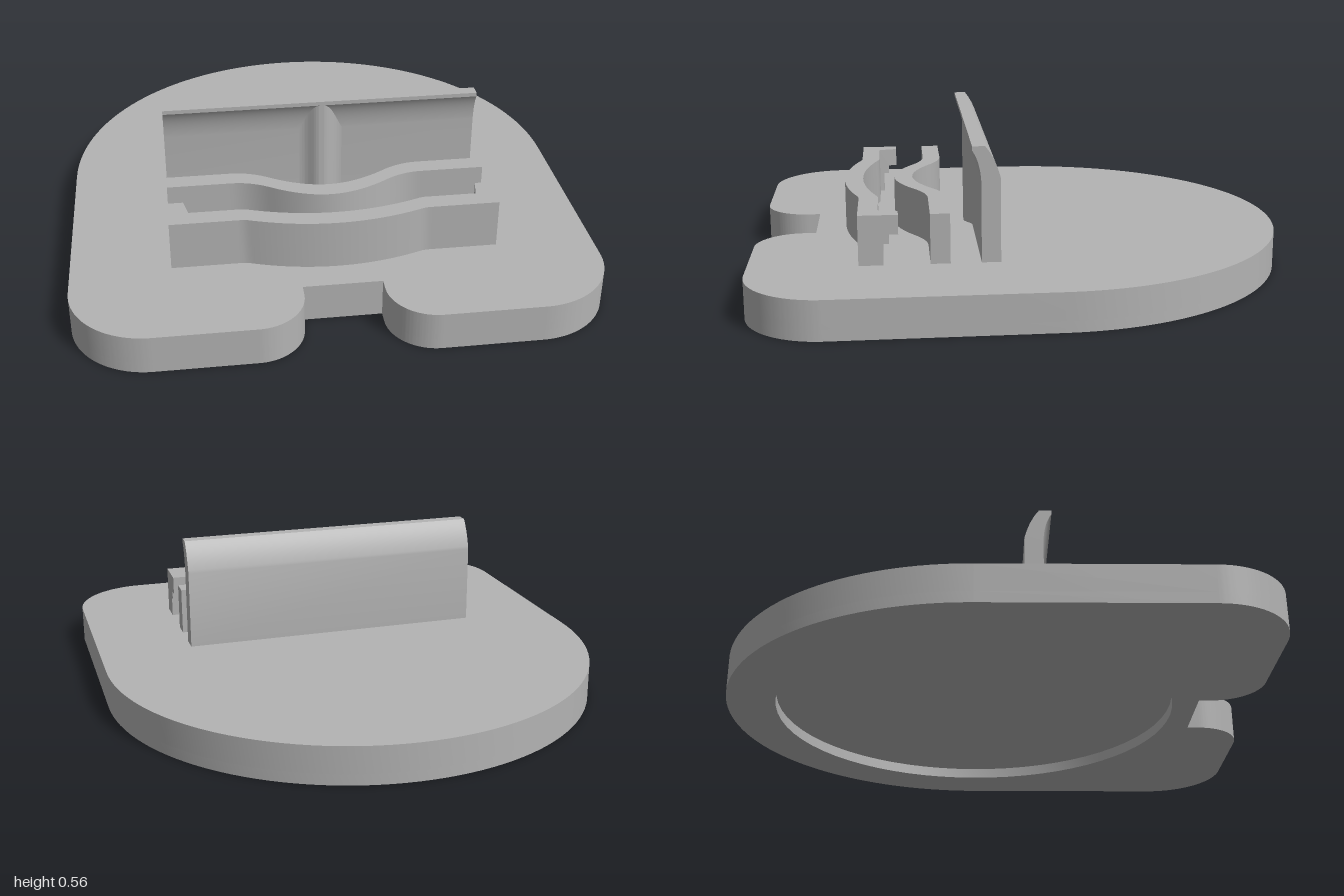
import * as THREE from 'three';
import { toCreasedNormals } from 'three/addons/utils/BufferGeometryUtils.js';

const grey = new THREE.MeshStandardMaterial({ color: 0xb3b3b3 });
grey.name = 'grey plastic';

const BASE_TOP = 0.14, CLIP_TOP = 0.32, HALF = 0.585, DISC_Z = -0.06;

function addMesh(group, name, geometry) {
  const mesh = new THREE.Mesh(toCreasedNormals(geometry, 0.5), grey);
  mesh.name = name;
  group.add(mesh);
  return mesh;
}

// Plan shape (x, -z) raised from y0 to y1
function raise(shape, y0, y1) {
  const g = new THREE.ExtrudeGeometry(shape, { depth: y1 - y0, bevelEnabled: false, curveSegments: 32 });
  return g.rotateX(-Math.PI / 2).translate(0, y0, 0);
}

// Side shape (z, y) run along x from x0 to x1
function runAcross(shape, x0, x1) {
  const g = new THREE.ExtrudeGeometry(shape, { depth: x1 - x0, bevelEnabled: false, curveSegments: 12 });
  return g.rotateY(-Math.PI / 2).translate(x1, 0, 0);
}

// Round-backed outline with rounded front corners and a cable notch
function baseOutline() {
  const w = 0.94, R = 0.28, n = 0.14, r = 0.17;
  const s = new THREE.Shape();
  s.moveTo(w, -DISC_Z);
  s.absarc(0, -DISC_Z, w, 0, Math.PI, false);
  s.lineTo(-w, -1 + R);
  s.absarc(-w + R, -1 + R, R, Math.PI, Math.PI * 1.5, false);
  s.lineTo(-n - r, -1);
  s.absarc(-n - r, -1 + r, r, -Math.PI / 2, 0, false);
  s.lineTo(-n, -0.785);
  s.lineTo(n, -0.785);
  s.lineTo(n, -1 + r);
  s.absarc(n + r, -1 + r, r, Math.PI, Math.PI * 1.5, false);
  s.lineTo(w - R, -1);
  s.absarc(w - R, -1 + R, R, -Math.PI / 2, 0, false);
  s.closePath();
  return s;
}

// Wall following z = f(x), with constant depth in z
function wavyWall(f, depth) {
  const pts = [], N = 64;
  for (let i = 0; i <= N; i++) {
    const x = -HALF + (2 * HALF * i) / N;
    pts.push([x, f(x)]);
  }
  const back = pts.map(([x, z]) => new THREE.Vector2(x, -z));
  const front = pts.map(([x, z]) => new THREE.Vector2(x, -z - depth)).reverse();
  return raise(new THREE.Shape([...back, ...front]), BASE_TOP, CLIP_TOP);
}

export function createModel() {
  const group = new THREE.Group();
  group.name = 'cardHolder';

  // Base: solid top layer over a rim with a shallow round recess
  addMesh(group, 'basePlate', raise(baseOutline(), 0.04, BASE_TOP));
  const rim = baseOutline();
  const hole = new THREE.Path();
  hole.absarc(0, -DISC_Z, 0.757, 0, Math.PI * 2, true);
  rim.holes.push(hole);
  addMesh(group, 'baseRim', raise(rim, 0, 0.04));

  // Back rest with a lip curling forward
  const rest = new THREE.Shape();
  rest.moveTo(0.118, BASE_TOP);
  rest.lineTo(0.186, BASE_TOP);
  rest.lineTo(0.186, 0.43);
  rest.quadraticCurveTo(0.19, 0.5, 0.217, 0.54);
  rest.lineTo(0.217, 0.555);
  rest.lineTo(0.172, 0.555);
  rest.quadraticCurveTo(0.135, 0.51, 0.118, 0.44);
  rest.closePath();
  addMesh(group, 'backRest', runAcross(rest, -HALF, HALF));

  // Rounded ridge in the middle of the rest, fading into the lip
  const ridge = new THREE.Shape();
  ridge.moveTo(0.08, -0.18);
  ridge.lineTo(0.08, -0.186);
  ridge.bezierCurveTo(0.04, -0.19, 0.035, -0.217, 0, -0.217);
  ridge.bezierCurveTo(-0.035, -0.217, -0.04, -0.19, -0.08, -0.186);
  ridge.lineTo(-0.08, -0.18);
  ridge.closePath();
  addMesh(group, 'restRidge', raise(ridge, BASE_TOP, 0.545));

  // Middle clip: S-bends at the sides, bowed forward at the centre
  const middle = (x) => {
    const a = Math.abs(x);
    if (a > 0.35) return 0.295;
    if (a > 0.22) return 0.295 + 0.04 * ((0.35 - a) / 0.13) ** 2;
    return 0.415 - 0.08 * (a / 0.22) ** 2 * (1.15 - 0.15 * (a / 0.22));
  };
  addMesh(group, 'middleClip', wavyWall(middle, 0.07));

  // Front clip: gentle bow between straight ends
  const bow = (x) => 0.545 + 0.06 * Math.max(0, 1 - (x / 0.32) ** 2);
  addMesh(group, 'frontClip', wavyWall(bow, 0.07));

  // Overhanging hooks at both ends of the front clip
  const hook = new THREE.Shape([
    [0.55, BASE_TOP], [0.55, CLIP_TOP], [0.475, CLIP_TOP], [0.475, 0.25],
    [0.508, 0.25], [0.508, 0.217], [0.528, 0.217], [0.528, BASE_TOP],
  ].map(([z, y]) => new THREE.Vector2(z, y)));
  for (const side of [-1, 1]) {
    const g = runAcross(hook, 0.52, HALF);
    const p = g.attributes.position;
    for (let i = 0; i < p.count; i++) {
      // Slanted inner face, mirrored by side
      let x = p.getX(i);
      if (x < 0.55) x = 0.515 + 0.015 * (0.545 - p.getZ(i)) / 0.07;
      p.setX(i, side > 0 ? x : HALF + 0.515 - x);
    }
    if (side < 0) {
      // Shift the flipped hook back to its side by half a turn in sign
      for (let i = 0; i < p.count; i++) p.setX(i, p.getX(i) - HALF - 0.515);
      const a = p.array;
      for (let i = 0; i < a.length; i += 9) {
        // Keep faces outward after mirroring
        for (let k = 0; k < 3; k++) [a[i + 3 + k], a[i + 6 + k]] = [a[i + 6 + k], a[i + 3 + k]];
      }
    }
    addMesh(group, side > 0 ? 'leftHook' : 'rightHook', g);
  }

  return group;
}
